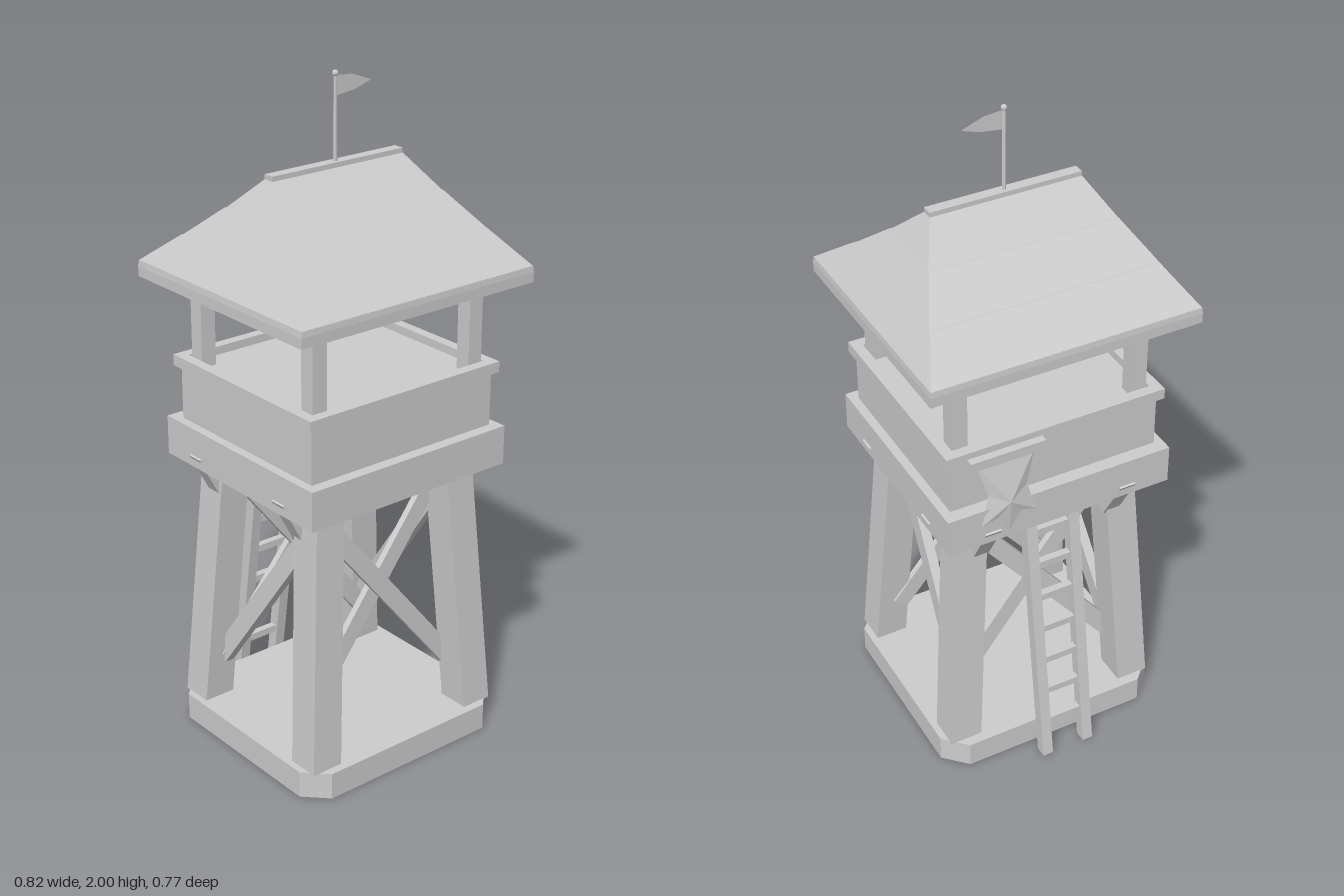
import * as THREE from 'three';

export function createModel() {
  const model = new THREE.Group();
  model.name = 'watchtower';
  const grey = new THREE.MeshStandardMaterial({ color: 0xcccccc, flatShading: true });
  grey.name = 'plain grey';
  const greySheet = new THREE.MeshStandardMaterial({ color: 0xcccccc, side: THREE.DoubleSide, flatShading: true });
  greySheet.name = 'plain grey sheet';

  const add = (name, geometry, material = grey) => {
    const mesh = new THREE.Mesh(geometry, material);
    mesh.name = name;
    model.add(mesh);
    return mesh;
  };

  // Box given by its extents
  const block = (name, x0, x1, y0, y1, z0, z1) =>
    add(name, new THREE.BoxGeometry(x1 - x0, y1 - y0, z1 - z0)
      .translate((x0 + x1) / 2, (y0 + y1) / 2, (z0 + z1) / 2));

  // Tapered block between two horizontal rectangles [centreX, y, centreZ, halfX, halfZ]
  const taper = (name, low, high) => {
    const g = new THREE.BoxGeometry(2, 2, 2);
    const p = g.attributes.position;
    for (let i = 0; i < p.count; i++) {
      const r = p.getY(i) > 0 ? high : low;
      p.setXYZ(i, r[0] + p.getX(i) * r[3], r[1], r[2] + p.getZ(i) * r[4]);
    }
    g.computeVertexNormals();
    return add(name, g);
  };

  // Straight bar from a to b; depth is measured along the facing direction
  const bar = (name, a, b, width, depth, facing) => {
    const from = new THREE.Vector3(...a), to = new THREE.Vector3(...b);
    const dir = to.clone().sub(from);
    const g = new THREE.BoxGeometry(width, dir.length(), depth);
    dir.normalize();
    const side = dir.clone().cross(new THREE.Vector3(...facing)).normalize();
    const out = side.clone().cross(dir);
    g.applyMatrix4(new THREE.Matrix4().makeBasis(side, dir, out));
    const mid = from.add(to).multiplyScalar(0.5);
    g.translate(mid.x, mid.y, mid.z);
    return add(name, g);
  };

  // Flat extruded outline laid on the ground plane
  const slab = (name, shape, y, height, z) =>
    add(name, new THREE.ExtrudeGeometry(shape, { depth: height, bevelEnabled: false })
      .rotateX(-Math.PI / 2).translate(0, y, z));

  // Base: chamfered rim, open underneath, closed by a thin deck
  const octagon = (hx, hz, c) => [
    [hx - c, -hz], [hx, c - hz], [hx, hz - c], [hx - c, hz],
    [c - hx, hz], [-hx, hz - c], [-hx, c - hz], [c - hx, -hz],
  ].map(([x, y]) => new THREE.Vector2(x, y));
  const rim = new THREE.Shape(octagon(0.36, 0.338, 0.066));
  rim.holes.push(new THREE.Path(octagon(0.354, 0.332, 0.064)));
  slab('baseRim', rim, 0, 0.076, 0.0275);
  slab('baseDeck', new THREE.Shape(octagon(0.36, 0.338, 0.066)), 0.075, 0.007, 0.0275);

  // Four legs leaning inwards
  for (const s of [-1, 1]) {
    for (const f of [-1, 1]) {
      taper('leg', [s * 0.29, 0.08, 0.03 + f * 0.26, 0.05, 0.05],
        [s * 0.238, 0.87, 0.026 + f * 0.215, 0.048, 0.05]);
    }
  }

  // Crossed braces at front and back, one diagonal on each side
  for (const f of [-1, 1]) {
    for (const s of [-1, 1]) {
      const d = s * 0.008;
      bar('crossBrace', [s * 0.26, 0.21, 0.0275 + f * 0.198 + d],
        [-s * 0.235, 0.825, 0.0275 + f * 0.178 + d], 0.055, 0.02, [0, 0, 1]);
    }
    bar('sideBrace', [f * 0.26, 0.215, -0.19], [f * 0.232, 0.777, 0.21], 0.056, 0.03, [1, 0, 0]);
  }

  // Knee braces that poke slightly through the platform edge
  for (const s of [-1, 1]) {
    for (const z of [0.205, -0.18]) {
      bar('kneeBrace', [s * 0.255, 0.75, z], [s * 0.337, 0.905, z], 0.045, 0.05, [0, 0, 1]);
    }
    bar('backKneeBrace', [s * 0.215, 0.75, -0.215], [s * 0.215, 0.905, -0.303], 0.05, 0.045, [0, 0, 1]);
  }

  // Platform, parapet and handrail
  block('platform', -0.352, 0.352, 0.862, 0.98, -0.317, 0.352);
  block('parapet', -0.325, 0.325, 0.98, 1.15, -0.276, 0.317);
  for (const s of [-1, 1]) {
    block('sideRail', s * 0.325 - 0.016, s * 0.325 + 0.016, 1.142, 1.175, -0.293, 0.333);
  }
  for (const z of [-0.277, 0.317]) block('endRail', -0.309, 0.309, 1.142, 1.175, z - 0.016, z + 0.016);

  // Roof posts
  for (const x of [-0.28, 0.28]) {
    for (const z of [-0.228, 0.272]) {
      block('roofPost', x - 0.024, x + 0.024, 1.14, 1.42, z - 0.024, z + 0.024);
    }
  }

  // Hipped roof in three overlapping courses
  const zc = 0.0175;
  block('eaves', -0.41, 0.41, 1.41, 1.44, zc - 0.3675, zc + 0.3675);
  taper('eavesLip', [0, 1.44, zc, 0.41, 0.3675], [0, 1.458, zc, 0.408, 0.3655]);
  [
    [0.408, 0.366, 1.457, 0.345, 0.243, 1.55],
    [0.352, 0.2495, 1.541, 0.286, 0.123, 1.643],
    [0.291, 0.1285, 1.634, 0.228, 0.014, 1.738],
  ].forEach(([x0, z0, y0, x1, z1, y1]) =>
    taper('roofCourse', [0, y0, zc, x0, z0], [0, y1, zc, x1, z1]));
  block('ridgeCap', -0.229, 0.229, 1.726, 1.75, zc - 0.0165, zc + 0.0165);

  // Flagpole with a small knob and pennant
  add('flagpole', new THREE.CylinderGeometry(0.005, 0.006, 0.25, 8).translate(0, 1.867, zc));
  add('poleKnob', new THREE.SphereGeometry(0.009, 8, 6).translate(0, 1.991, zc));
  const pennant = new THREE.Shape([
    [0, 1.985], [0.06, 1.98], [0.126, 1.955], [0.07, 1.937], [0, 1.928],
  ].map(([x, y]) => new THREE.Vector2(x, y)));
  add('pennant', new THREE.ShapeGeometry(pennant).translate(0, 0, zc), greySheet);

  // Ladder leaning on the back of the platform
  const ladderZ = (y) => -0.372 + y * 0.142;
  for (const s of [-1, 1]) {
    taper('ladderRail', [s * 0.0685, 0.005, ladderZ(0), 0.0165, 0.018],
      [s * 0.0685, 0.87, ladderZ(0.87), 0.0165, 0.018]);
  }
  for (let i = 0; i < 7; i++) {
    const y = 0.12 + i * 0.1115;
    block('ladderRung', -0.056, 0.056, y - 0.011, y + 0.011, ladderZ(y) - 0.011, ladderZ(y) + 0.011);
  }

  // Hide hanging from a short rod at the back
  const hx = 0.165;
  block('hideRod', hx - 0.115, hx + 0.115, 1.125, 1.155, -0.317, -0.27);
  const outline = [
    [-0.09, 1.125, -0.297], [-0.06, 1.02, -0.308], [-0.085, 0.93, -0.321], [-0.035, 0.945, -0.322],
    [0, 0.885, -0.321], [0.035, 0.945, -0.322], [0.085, 0.93, -0.321], [0.06, 1.02, -0.308],
    [0.09, 1.125, -0.297],
  ];
  const fan = [];
  outline.forEach((p, i) => fan.push(...p, 0, 0.99, -0.33, ...outline[(i + 1) % outline.length]));
  const hide = new THREE.BufferGeometry();
  hide.setAttribute('position', new THREE.Float32BufferAttribute(fan, 3));
  hide.computeVertexNormals();
  add('hangingHide', hide.translate(hx, 0, 0), greySheet);

  return model;
}
